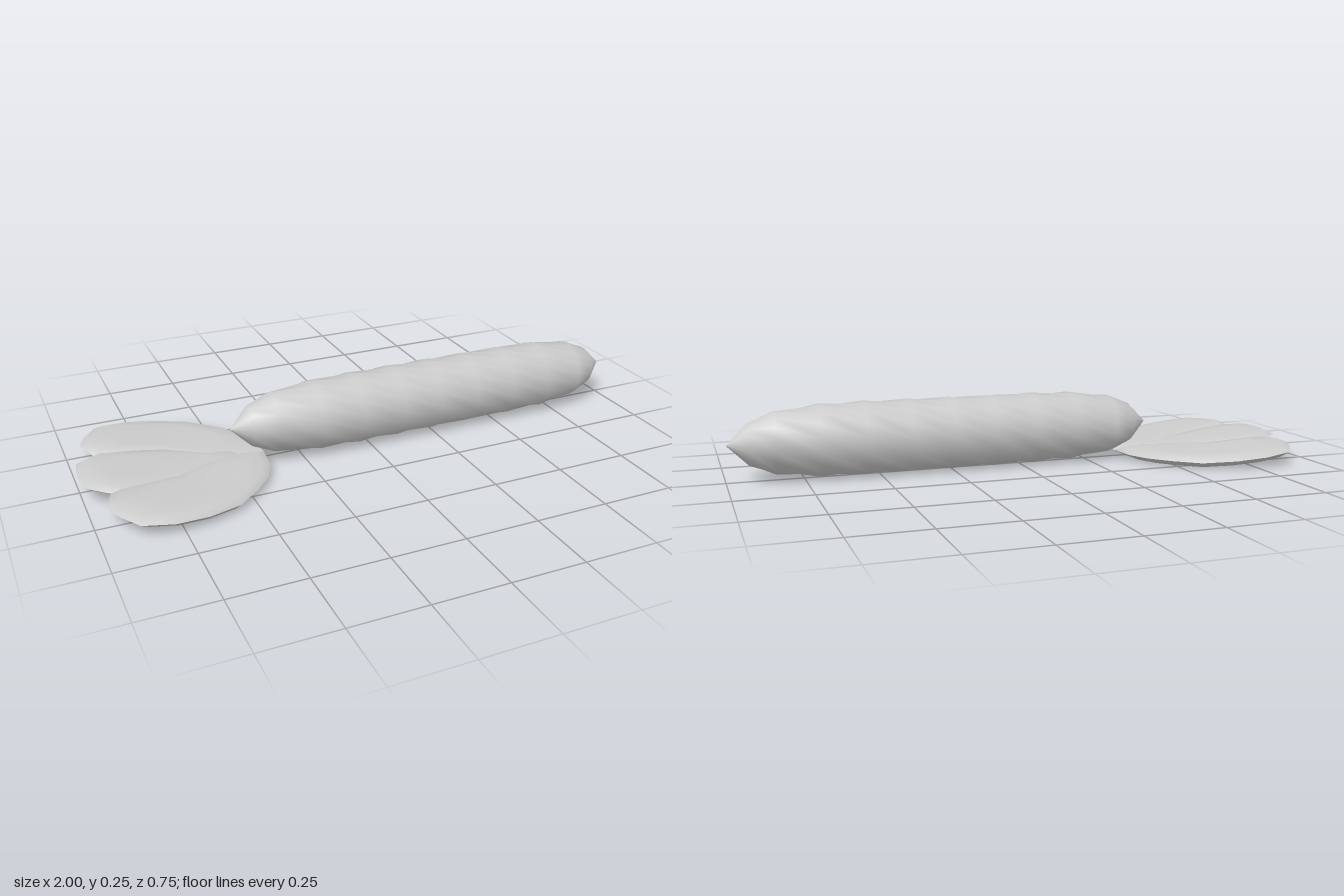
import * as THREE from 'three';

const SIDES = 16;

function buildGeometry(positions, index) {
  const geometry = new THREE.BufferGeometry();
  geometry.setAttribute('position', new THREE.Float32BufferAttribute(positions, 3));
  geometry.setIndex(index);
  geometry.computeVertexNormals();
  return geometry;
}

// Twisted body: rings of [x, radius], each turned a little further than the last
function bodyGeometry() {
  const rings = [
    [-0.49, 0.001], [-0.42, 0.07], [-0.34, 0.103], [-0.19, 0.121],
    [-0.04, 0.124], [0.11, 0.124], [0.255, 0.124], [0.4, 0.124], [0.55, 0.124],
    [0.7, 0.121], [0.845, 0.103], [0.925, 0.07], [0.995, 0.001],
  ];
  const positions = [], index = [];
  rings.forEach(([x, r], j) => {
    const twist = (x / 0.148) * 0.46;
    for (let i = 0; i < SIDES; i++) {
      const a = (i / SIDES) * Math.PI * 2 + twist;
      positions.push(x, 0.124 + r * Math.cos(a), r * Math.sin(a));
      if (j === rings.length - 1) continue;
      const next = (i + 1) % SIDES;
      const p = j * SIDES + i, q = j * SIDES + next;
      const s = p + SIDES, t = q + SIDES;
      // The long diagonal leaves the shallow spiral grooves
      index.push(p, q, t, p, t, s);
    }
  });
  return buildGeometry(positions, index);
}

// The fan lifts towards its free end
const lift = (x) => 0.02 + 0.04 * Math.pow(Math.max(0, (-0.55 - x) / 0.45), 1.3);

// One face of a lens-shaped lobe, from a sharp rim to a thicker middle
function lobeFace(outline, [cx, cz], up) {
  const steps = [[1, 0], [0.88, 0.017], [0.6, 0.02], [0.3, 0.021], [0.001, 0.021]];
  const n = outline.length;
  const positions = [], index = [];
  let area = 0;
  outline.forEach(([x, z], i) => {
    const [x2, z2] = outline[(i + 1) % n];
    area += x * z2 - x2 * z;
  });
  const flip = (area > 0) === (up > 0);
  steps.forEach(([scale, height], j) => {
    outline.forEach(([ox, oz], i) => {
      const x = cx + (ox - cx) * scale, z = cz + (oz - cz) * scale;
      positions.push(x, Math.max(0, lift(x) + up * height), z);
      if (j === steps.length - 1) return;
      const p = j * n + i, q = j * n + ((i + 1) % n);
      const s = p + n, t = q + n;
      if (flip) index.push(p, s, q, q, s, t);
      else index.push(p, q, s, q, t, s);
    });
  });
  return buildGeometry(positions, index);
}

function lobe(name, outline, centre, material) {
  const group = new THREE.Group();
  group.name = name;
  for (const up of [1, -1]) {
    const face = new THREE.Mesh(lobeFace(outline, centre, up), material);
    face.name = up > 0 ? 'upperFace' : 'lowerFace';
    group.add(face);
  }
  return group;
}

export function createModel() {
  const model = new THREE.Group();
  model.name = 'model';
  const grey = new THREE.MeshStandardMaterial({ color: 0xcccccc });
  grey.name = 'lightGrey';

  const body = new THREE.Mesh(bodyGeometry(), grey);
  body.name = 'twistedBody';
  model.add(body);

  // Tail fan: two broad side lobes and a narrow middle one
  const side = [
    [-0.375, 0], [-0.385, 0.1], [-0.42, 0.18], [-0.48, 0.25], [-0.56, 0.32],
    [-0.67, 0.36], [-0.78, 0.376], [-0.88, 0.36], [-0.93, 0.29], [-0.955, 0.225],
    [-0.925, 0.14], [-0.7, 0.085], [-0.64, 0.03], [-0.5, -0.02],
  ];
  for (const m of [1, -1]) {
    const outline = side.map(([x, z]) => [x, z * m]);
    model.add(lobe(m > 0 ? 'frontTailLobe' : 'backTailLobe', outline, [-0.66, 0.2 * m], grey));
  }
  const half = [[-1, 0.03], [-0.99, 0.09], [-0.925, 0.138], [-0.8, 0.135], [-0.66, 0.11], [-0.52, 0.06], [-0.45, 0.02]];
  const middle = [...half, ...half.map(([x, z]) => [x, -z]).reverse()];
  model.add(lobe('middleTailLobe', middle, [-0.76, 0], grey));

  return model;
}
